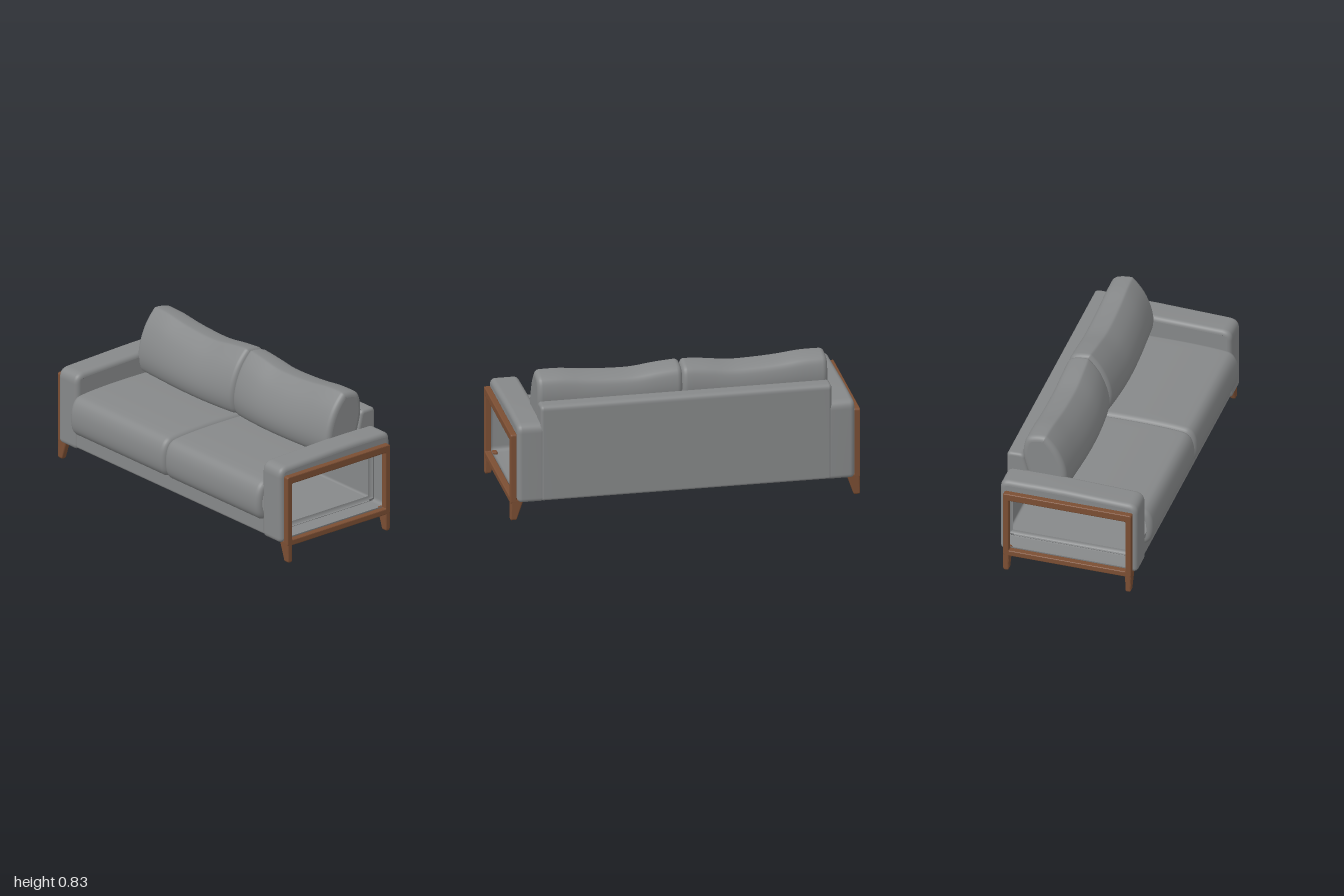
import * as THREE from 'three';
import { RoundedBoxGeometry } from 'three/addons/geometries/RoundedBoxGeometry.js';

const fabric = new THREE.MeshStandardMaterial({ color: 0x868889, side: THREE.DoubleSide });
fabric.name = 'grey fabric';
const wood = new THREE.MeshStandardMaterial({ color: 0x7b4e33 });
wood.name = 'brown wood';

function add(parent, name, geometry, material) {
  const mesh = new THREE.Mesh(geometry, material);
  mesh.name = name;
  parent.add(mesh);
  return mesh;
}

// Smooth open profile through [z, y] points
function spline(points, n = 40) {
  return new THREE.SplineCurve(points.map(p => new THREE.Vector2(...p))).getPoints(n);
}

// Polyline of [z, y, radius] corners with rounded corners
function rounded(corners, closed) {
  const v = corners.map(c => new THREE.Vector2(c[0], c[1]));
  const n = v.length, out = [];
  corners.forEach(([, , r], i) => {
    if (!closed && (i === 0 || i === n - 1)) return out.push(v[i]);
    const toward = q => v[i].clone().add(q.clone().sub(v[i]).setLength(r));
    const arc = new THREE.QuadraticBezierCurve(toward(v[(i + n - 1) % n]), v[i], toward(v[(i + 1) % n]));
    out.push(...arc.getPoints(8));
  });
  return out;
}

// Profile moved inward (to the left of its direction)
function inset(profile, d, closed) {
  const n = profile.length;
  return profile.map((p, i) => {
    const a = profile[closed ? (i + n - 1) % n : Math.max(i - 1, 0)];
    const b = profile[closed ? (i + 1) % n : Math.min(i + 1, n - 1)];
    const t = b.clone().sub(a).normalize();
    return new THREE.Vector2(p.x - t.y * d, p.y + t.x * d);
  });
}

// Upholstery skin: profile carried along x, softly rounded in at both ends
function skin(profile, x0, x1, r, { closed = false, warp = null, middle = 16 } = {}) {
  const dir = Math.sign(x1 - x0), steps = 6, sections = [];
  for (let i = 0; i <= steps; i++) {
    const a = i / steps * Math.PI / 2;
    sections.push([x0 + dir * r * (1 - Math.cos(a)), r * (1 - Math.sin(a))]);
  }
  const ends = sections.map(([x, d]) => [x0 + x1 - x, d]).reverse();
  const a = x0 + dir * r, b = x1 - dir * r;
  for (let i = 1; i < middle; i++) sections.push([a + (b - a) * i / middle, 0]);
  sections.push(...ends);

  const n = profile.length, pos = [], index = [];
  sections.forEach(([x, d], s) => {
    for (const p of inset(profile, d, closed)) {
      const q = warp ? warp(x, p) : p;
      pos.push(x, q.y, q.x);
    }
    if (s === 0) return;
    for (let i = 0; i < (closed ? n : n - 1); i++) {
      const j = (i + 1) % n, k = (s - 1) * n, l = s * n;
      index.push(k + i, k + j, l + i, k + j, l + j, l + i);
    }
  });
  const g = new THREE.BufferGeometry();
  g.setAttribute('position', new THREE.Float32BufferAttribute(pos, 3));
  g.setIndex(index);
  g.computeVertexNormals();
  return g;
}

// Flat panel in the z-y plane at a given x
function panel(points, x, hole) {
  const shape = new THREE.Shape(points);
  if (hole) shape.holes.push(new THREE.Path(hole));
  const g = new THREE.ShapeGeometry(shape);
  g.rotateY(-Math.PI / 2);
  g.translate(x, 0, 0);
  return g;
}

const rect = (z0, z1, y0, y1, r) =>
  rounded([[z0, y0, r], [z1, y0, r], [z1, y1, r], [z0, y1, r]], true);

// Arm: rounded block, hollow behind the side frame
function addArm(group, s) {
  const outline = rounded([[-0.422, 0.113, 0.025], [0.385, 0.113, 0.03],
    [0.385, 0.568, 0.06], [-0.15, 0.584, 0.1], [-0.422, 0.58, 0.05]], true);
  const r = 0.028, xIn = s * 0.803, xOut = s * 0.965;
  add(group, 'arm', skin(outline, xIn, xOut, r, { closed: true, middle: 2 }), fabric);
  add(group, 'armOuterPanel',
    panel(inset(outline, r, true), xOut, rect(-0.365, 0.33, 0.13, 0.48, 0.01)), fabric);
  const inner = [[0.357, 0.42], [0.357, 0.535], [0.32, 0.543], [-0.15, 0.556], [-0.39, 0.553],
    [-0.39, 0.5], [-0.08, 0.5], [-0.12, 0.455], [-0.19, 0.432], [-0.17, 0.422]];
  add(group, 'armInnerPanel', panel(inner.map(p => new THREE.Vector2(...p)), xIn, null), fabric);
}

// Wooden side frame with two tapered feet
function addFrame(group, s) {
  const bevel = 0.006;
  const shape = new THREE.Shape(rect(-0.395 + bevel, 0.36 - bevel, 0.1 + bevel, 0.52 - bevel, 0.008));
  shape.holes.push(new THREE.Path(rect(-0.36 - bevel, 0.325 + bevel, 0.135 - bevel, 0.475 + bevel, 0.012)));
  const g = new THREE.ExtrudeGeometry(shape, {
    depth: 0.037 - 2 * bevel, bevelEnabled: true, bevelSize: bevel, bevelThickness: bevel, bevelSegments: 3 });
  g.rotateY(-Math.PI / 2);
  g.translate((s > 0 ? 1 : -0.963) - bevel, 0, 0);
  add(group, 'sideFrame', g, wood);

  for (const z of [0.341, -0.376]) {
    const leg = new RoundedBoxGeometry(0.076, 0.13, 0.038, 4, 0.012);
    const p = leg.attributes.position;
    for (let i = 0; i < p.count; i++) {
      const t = Math.min(1, (p.getY(i) + 0.065) / 0.115);
      p.setX(i, 0.038 + (p.getX(i) - 0.038) * (0.46 + 0.54 * t));
      p.setZ(i, p.getZ(i) * (0.84 + 0.16 * t));
    }
    leg.computeVertexNormals();
    const foot = add(group, 'foot', leg, wood);
    foot.position.set(s * 0.962, 0.065, z);
    if (s < 0) foot.rotation.y = Math.PI;
  }
}

// Seat cushion with a rounded overhanging front
function addSeat(group, s) {
  const profile = spline([[0.36, 0.212], [0.39, 0.215], [0.418, 0.25], [0.428, 0.31], [0.42, 0.38],
    [0.39, 0.43], [0.33, 0.447], [0.15, 0.456], [-0.08, 0.456], [-0.25, 0.45]]);
  add(group, 'seatCushion', skin(profile, 0, s * 0.822, 0.034), fabric);
}

// Plump back cushion with a wavy top edge
function addBackCushion(group, s) {
  const r = 0.03, width = 0.83;
  const profile = spline([[-0.14, 0.45], [-0.095, 0.475], [-0.076, 0.55], [-0.09, 0.64], [-0.13, 0.73],
    [-0.185, 0.798], [-0.215, 0.812], [-0.295, 0.795], [-0.325, 0.745], [-0.33, 0.66], [-0.3, 0.55]]);
  const wave = new THREE.SplineCurve([[0, 0.016], [0.2, 0.004], [0.4, -0.014], [0.6, -0.013],
    [0.8, -0.004], [0.9, 0.012], [1, 0.014]].map(p => new THREE.Vector2(...p)));
  const lift = u => wave.getPoint(u).y;
  const warp = (x, p) => {
    const u = Math.min(1, Math.abs(x) / width);
    const h = THREE.MathUtils.clamp((p.y - 0.45) / 0.36, 0, 1);
    const front = THREE.MathUtils.clamp((p.x + 0.3) / 0.22, 0, 1);
    const taper = 0.026 * Math.sin(Math.PI * Math.pow(u, 0.8));
    return new THREE.Vector2(p.x + taper * front, p.y + lift(u) * h);
  };
  add(group, 'backCushion', skin(profile, 0, s * width, r, { warp, middle: 24 }), fabric);
  const end = inset(profile, r).map(p => warp(s * width, p)).filter(p => p.y > 0.54);
  add(group, 'backCushionSide', panel(end, s * width), fabric);
}

export function createModel() {
  const sofa = new THREE.Group();
  sofa.name = 'sofa';

  // Base: underside and front rail
  const base = rounded([[-0.41, 0.12, 0], [0.375, 0.12, 0.015], [0.375, 0.26, 0]], false);
  add(sofa, 'base', skin(base, -0.83, 0.83, 0.004), fabric);

  // Backrest with closed ends above the arms
  const back = rounded([[-0.29, 0.55, 0], [-0.325, 0.687, 0.025], [-0.424, 0.687, 0.03],
    [-0.424, 0.118, 0.015], [-0.38, 0.118, 0]], false);
  add(sofa, 'backrest', skin(back, -0.832, 0.832, 0.018), fabric);
  const backEnd = inset(back, 0.018).filter(p => p.y > 0.5);
  backEnd.push(new THREE.Vector2(-0.406, 0.55));

  for (const s of [1, -1]) {
    add(sofa, 'backrestEnd', panel(backEnd, s * 0.832), fabric);
    addArm(sofa, s);
    addFrame(sofa, s);
    addSeat(sofa, s);
    addBackCushion(sofa, s);
  }
  return sofa;
}
